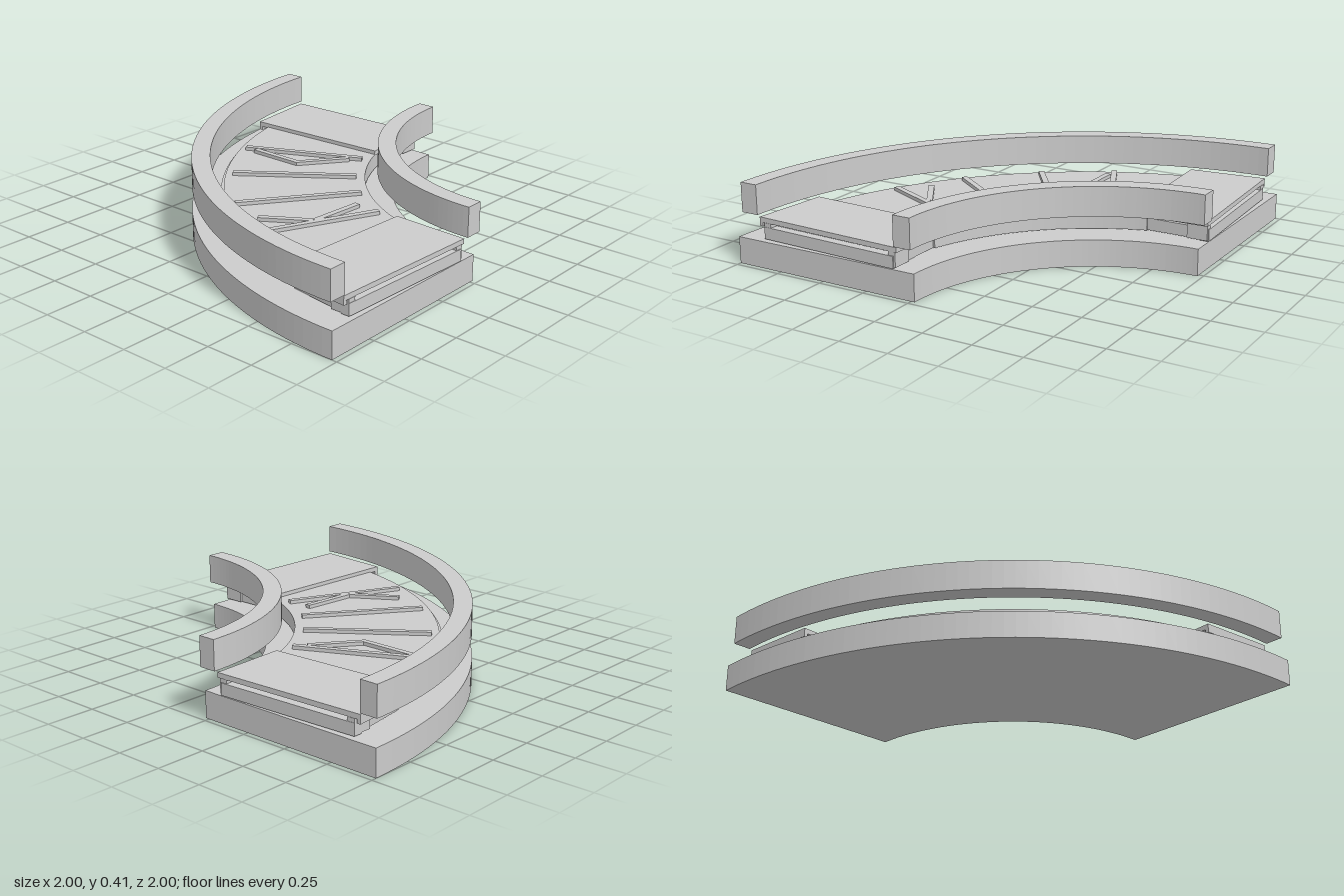
import * as THREE from 'three';

const material = new THREE.MeshStandardMaterial({ color: 0xcccccc, flatShading: true });

// Plan shape (shape y = -z) extruded upward from y0 to y1
function slab(name, shape, y0, y1) {
  const geo = new THREE.ExtrudeGeometry(shape, { depth: y1 - y0, bevelEnabled: false, curveSegments: 28 });
  geo.rotateX(-Math.PI / 2);
  geo.translate(0, y0, 0);
  const mesh = new THREE.Mesh(geo, material);
  mesh.name = name;
  return mesh;
}

// Quarter ring about (c, -c); trim narrows the sweep at both ends
function ring(c, inner, outer, trim = 0) {
  const a = Math.PI + trim, b = 1.5 * Math.PI - trim;
  const s = new THREE.Shape();
  s.absarc(c, c, outer, a, b, false);
  s.absarc(c, c, inner, b, a, true);
  s.closePath();
  return s;
}

const polygon = (pts) => new THREE.Shape(pts.map(([x, z]) => new THREE.Vector2(x, -z)));

// Flat strip of constant width between two plan points
function strip([x0, z0], [x1, z1], w = 0.03) {
  const len = Math.hypot(x1 - x0, z1 - z0);
  const nx = (-(z1 - z0) / len) * w / 2, nz = ((x1 - x0) / len) * w / 2;
  return polygon([[x0 + nx, z0 + nz], [x1 + nx, z1 + nz], [x1 - nx, z1 - nz], [x0 - nx, z0 - nz]]);
}

export function createModel() {
  const model = new THREE.Group();
  model.name = 'curvedConveyor';

  // Base and the two raised guard rails
  model.add(slab('base', ring(0.975, 0.955, 1.975), 0, 0.135));
  model.add(slab('outerRail', ring(0.955, 1.85, 1.943), 0.255, 0.405));
  model.add(slab('innerRail', ring(1, 0.98, 1.072), 0.255, 0.405));

  // Curved belt bed
  model.add(slab('bed', ring(0.975, 1.1, 1.83, 0.29), 0.145, 0.205));
  model.add(slab('belt', ring(0.975, 1.1, 1.815, 0.2), 0.205, 0.225));

  // Transfer plates, supports and end bars, mirrored across the diagonal
  const endParts = [
    ['plate', [[0.585, 0.055], [0.98, 0.07], [0.945, 0.89], [0.545, 0.85]], 0.22, 0.245],
    ['plateSkirt', [[0.546, 0.83], [0.946, 0.87], [0.945, 0.89], [0.545, 0.85]], 0.2, 0.22],
    ['endSupport', [[0.64, 0.09], [0.89, 0.09], [0.87, 0.85], [0.6, 0.81]], 0.145, 0.205],
    ['endBar', [[0.935, 0.09], [0.98, 0.09], [0.95, 0.86], [0.905, 0.86]], 0.14, 0.2],
    ['innerBracket', [[0.87, 0.08], [0.975, 0.08], [0.974, 0.12], [0.87, 0.12]], 0.145, 0.22],
    ['outerBracket', [[0.85, 0.82], [0.95, 0.82], [0.948, 0.86], [0.85, 0.86]], 0.145, 0.22],
  ];
  for (const [name, pts, y0, y1] of endParts) {
    model.add(slab(name + 'Front', polygon(pts), y0, y1));
    model.add(slab(name + 'Back', polygon(pts.map(([x, z]) => [-z, -x])), y0, y1));
  }

  // Cleats on the upper and lower faces of the belt
  const cleats = [
    [[-0.63, -0.2], [-0.05, -0.47]],
    [[-0.56, -0.2], [-0.26, -0.2]],
    [[-0.27, -0.195], [-0.1, -0.42]],
    [[-0.42, 0.125], [0.09, -0.25]],
    [[-0.125, 0.42], [0.25, -0.09]],
    [[0.2, 0.62], [0.47, 0.05]],
    [[0.34, 0.05], [0.315, 0.34]],
    [[0.31, 0.345], [0.085, 0.485]],
  ];
  for (const [a, b] of cleats) {
    model.add(slab('upperCleat', strip(a, b), 0.225, 0.243));
    model.add(slab('lowerCleat', strip(a, b), 0.135, 0.145));
  }
  return model;
}
